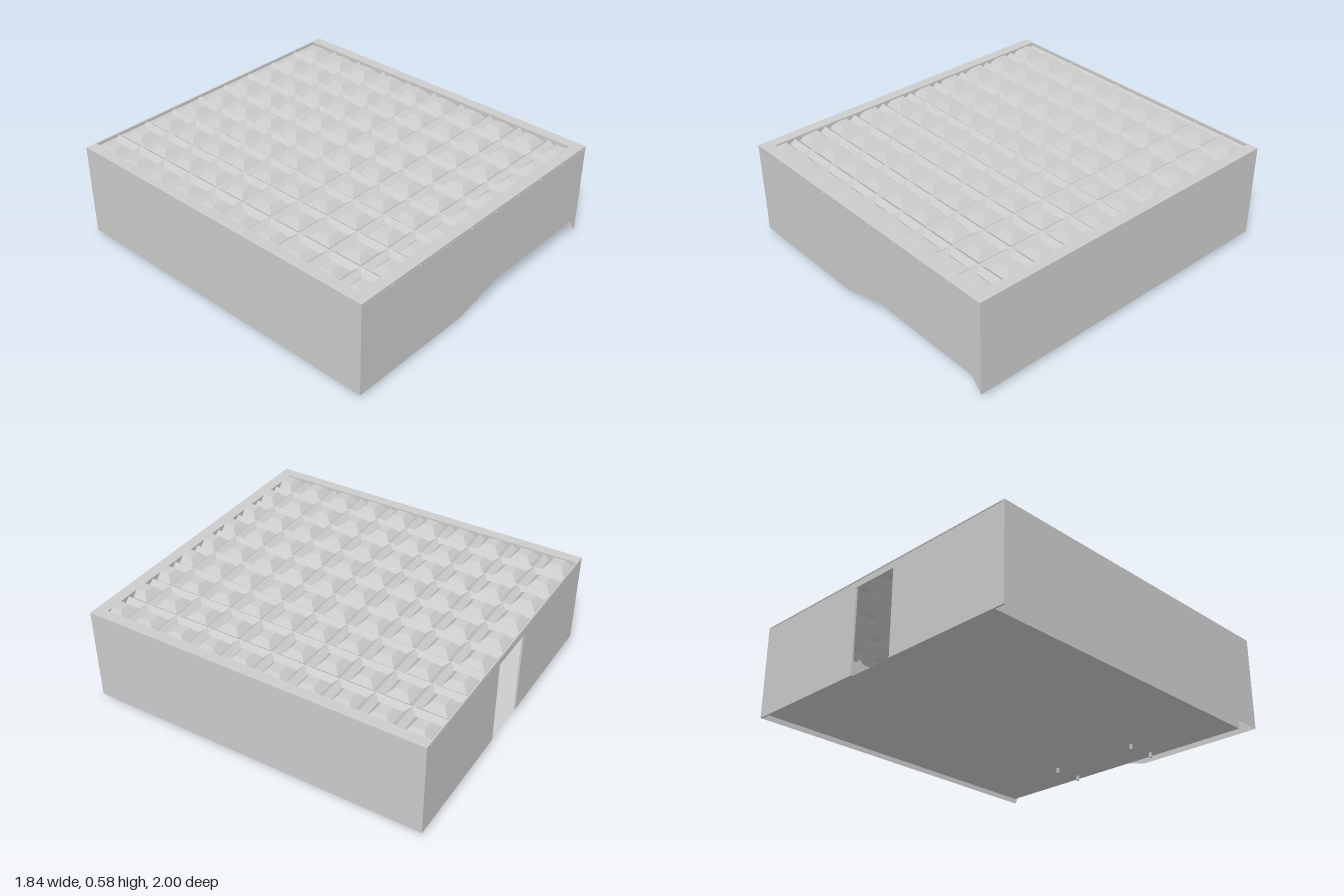
import * as THREE from 'three';

const W = 0.92, BACK = -0.998, FRONT = 0.992;   // outer walls
const IN_X = 0.857, IN_BACK = -0.988, IN_FRONT = 0.925; // inner walls
const FLOOR = 0.03, TOP = 0.577;

const mat = new THREE.MeshStandardMaterial({ color: 0xcccccc, side: THREE.DoubleSide, flatShading: true });

function add(group, name, geometry, x = 0, y = 0, z = 0) {
  const mesh = new THREE.Mesh(geometry, mat);
  mesh.name = name;
  mesh.position.set(x, y, z);
  group.add(mesh);
  return mesh;
}

function polygon(points) {
  return new THREE.Shape(points.map(([x, y]) => new THREE.Vector2(x, y)));
}

// Corners of a level rectangle, counter-clockwise seen from above
function ring(cx, cz, hx, hz, y) {
  return [[cx - hx, y, cz + hz], [cx + hx, y, cz + hz], [cx + hx, y, cz - hz], [cx - hx, y, cz - hz]];
}

// One sheet of coffers: ridges between cells, a sunken border and a raised flat-topped pyramid in each
function cofferGeometry(nx, nz, x0, x1) {
  const pos = [];
  const quad = (a, b, c, d) => pos.push(...a, ...b, ...c, ...a, ...c, ...d);
  const px = (x1 - x0) / nx, pz = 2 / nz;
  for (let i = 0; i < nx; i++) {
    for (let j = 0; j < nz; j++) {
      const cx = x0 + (i + 0.5) * px, cz = -1 + (j + 0.5) * pz;
      const rings = [
        ring(cx, cz, px / 2, pz / 2, 0.569),
        ring(cx, cz, 0.068, 0.068, 0.543),
        ring(cx, cz, 0.033, 0.033, 0.58),
      ];
      for (let r = 0; r < 2; r++) {
        for (let k = 0; k < 4; k++) {
          const n = (k + 1) % 4;
          quad(rings[r][k], rings[r][n], rings[r + 1][n], rings[r + 1][k]);
        }
      }
      quad(...rings[2]);
    }
  }
  const g = new THREE.BufferGeometry();
  g.setAttribute('position', new THREE.Float32BufferAttribute(pos, 3));
  g.computeVertexNormals();
  return g;
}

export function createModel() {
  const room = new THREE.Group();
  room.name = 'room';
  const H = TOP - FLOOR, midY = (TOP + FLOOR) / 2;

  // Front wall with the low cut along its bottom edge, and its inner face
  add(room, 'frontWall', new THREE.ShapeGeometry(polygon([
    [-W, FLOOR], [-0.14, FLOOR], [0.14, 0.108], [0.855, 0.108], [W, FLOOR], [W, TOP], [-W, TOP],
  ])), 0, 0, FRONT);
  add(room, 'frontInnerWall', new THREE.PlaneGeometry(2 * IN_X, H).rotateY(Math.PI), 0, midY, IN_FRONT);

  // Side walls, outer and inner faces
  for (const s of [-1, 1]) {
    const side = s > 0 ? 'left' : 'right';
    add(room, side + 'Wall', new THREE.PlaneGeometry(FRONT - BACK, H).rotateY(s * Math.PI / 2),
      s * W, midY, (FRONT + BACK) / 2);
    add(room, side + 'InnerWall', new THREE.PlaneGeometry(IN_FRONT - IN_BACK, H).rotateY(-s * Math.PI / 2),
      s * IN_X, midY, (IN_FRONT + IN_BACK) / 2);
  }

  // Thin back wall with a doorway
  add(room, 'backWall', new THREE.ExtrudeGeometry(polygon([
    [-W, FLOOR], [-0.145, FLOOR], [-0.145, 0.53], [0.145, 0.53], [0.145, FLOOR], [W, FLOOR], [W, TOP], [-W, TOP],
  ]), { depth: IN_BACK - BACK, bevelEnabled: false }), 0, 0, BACK);

  // Flat rim on top of the walls
  const rim = polygon([[-W, -FRONT], [W, -FRONT], [W, -BACK], [-W, -BACK]]);
  rim.holes.push(polygon([[-IN_X, -IN_FRONT], [-IN_X, -IN_BACK], [IN_X, -IN_BACK], [IN_X, -IN_FRONT]]));
  add(room, 'wallRim', new THREE.ShapeGeometry(rim).rotateX(-Math.PI / 2), 0, TOP, 0);

  // Floor and coffered ceiling
  add(room, 'floor', new THREE.PlaneGeometry(2 * IN_X, IN_FRONT - IN_BACK).rotateX(-Math.PI / 2),
    0, FLOOR, (IN_FRONT + IN_BACK) / 2);
  add(room, 'cofferedCeiling', cofferGeometry(9, 10, -0.905, 0.89));

  // Table whose feet pass through the floor
  const table = new THREE.Group();
  table.name = 'table';
  for (const x of [-0.28, 0.28]) {
    for (const z of [0.695, 0.878]) add(table, 'tableLeg', new THREE.BoxGeometry(0.014, 0.14, 0.012), x, 0.07, z);
  }
  add(table, 'tableTop', new THREE.BoxGeometry(0.6, 0.015, 0.22), 0, 0.147, 0.787);
  room.add(table);
  return room;
}
